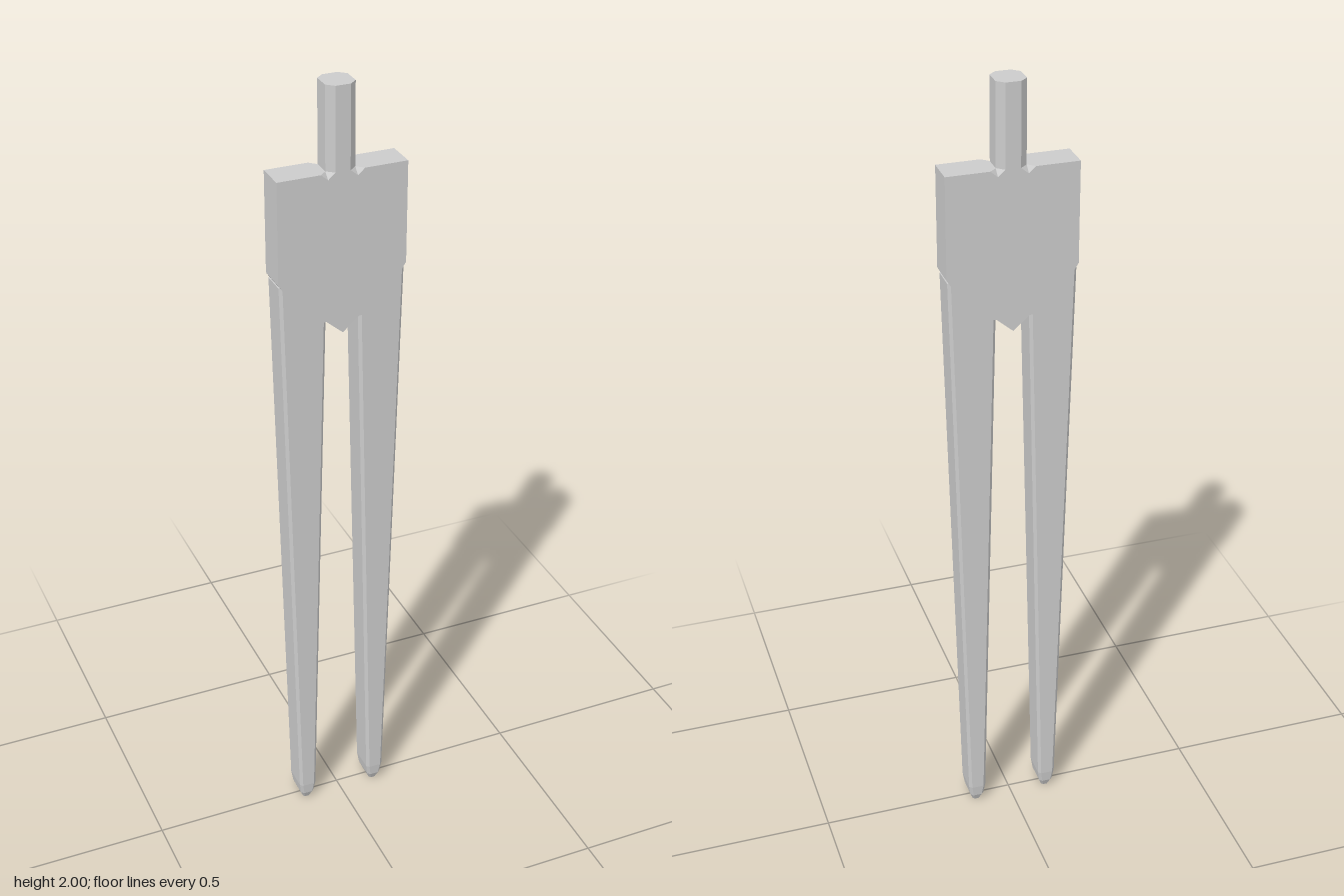
import * as THREE from 'three';
import { ConvexGeometry } from 'three/addons/geometries/ConvexGeometry.js';

const HZ = 0.038; // half thickness of the plate

export function createModel() {
  const group = new THREE.Group();
  const material = new THREE.MeshStandardMaterial({ color: 0xcccccc, flatShading: true });
  const add = (name, geometry) => {
    const mesh = new THREE.Mesh(geometry, material);
    mesh.name = name;
    group.add(mesh);
    return mesh;
  };
  const hull = (points) => new ConvexGeometry(points.map((p) => new THREE.Vector3(...p)));

  // Shoulder plate: small V notches beside the stem, V-shaped crotch below
  const half = [
    [0.018, 1.8], [0.036, 1.785], [0.053, 1.8], [0.158, 1.8],
    [0.158, 1.55], [0.142, 1.525], [0.138, 1.435], [0.041, 1.435],
  ];
  const outline = [...half, [0, 1.4], ...half.map(([x, y]) => [-x, y]).reverse()];
  const plate = new THREE.ExtrudeGeometry(
    new THREE.Shape(outline.map(([x, y]) => new THREE.Vector2(x, y))),
    { depth: 2 * HZ, bevelEnabled: false });
  plate.translate(0, 0, -HZ);
  add('shoulderPlate', plate);

  // Stem with chamfered corners
  const stemCorners = [
    [0.018, HZ], [0.036, 0.022], [0.036, -0.022], [0.018, -HZ],
    [-0.018, -HZ], [-0.036, -0.022], [-0.036, 0.022], [-0.018, HZ],
  ];
  add('stem', hull([1.78, 2].flatMap((y) => stemCorners.map(([x, z]) => [x, y, z]))));

  for (const side of [1, -1]) {
    const sideName = side > 0 ? 'left' : 'right';

    // Fillers leave only a sloped nick at each end of the notch
    for (const edge of [0.018, 0.053]) {
      add(sideName + 'StemNick', hull([HZ, -HZ].flatMap((z) => [
        [side * edge, 1.8, z],
        [side * 0.036, 1.8, Math.sign(z) * 0.022],
        [side * 0.036, 1.785, z],
      ])));
    }

    // Tapered prong: chamfered sections of [y, inner x, outer x, half depth, chamfer]
    const sections = [
      [1.54, 0.038, 0.155, HZ, 0.007],
      [0.05, 0.0745, 0.1195, HZ, 0.007],
      [0.02, 0.079, 0.115, 0.035, 0.007],
      [0, 0.087, 0.107, 0.026, 0.005],
    ];
    add(sideName + 'Prong', hull(sections.flatMap(([y, xi, xo, hz, c]) =>
      [1, -1].flatMap((s) => [
        [side * (xi + c), y, s * hz], [side * (xo - c), y, s * hz],
        [side * xi, y, s * (hz - c)], [side * xo, y, s * (hz - c)],
      ]))));
  }
  return group;
}
